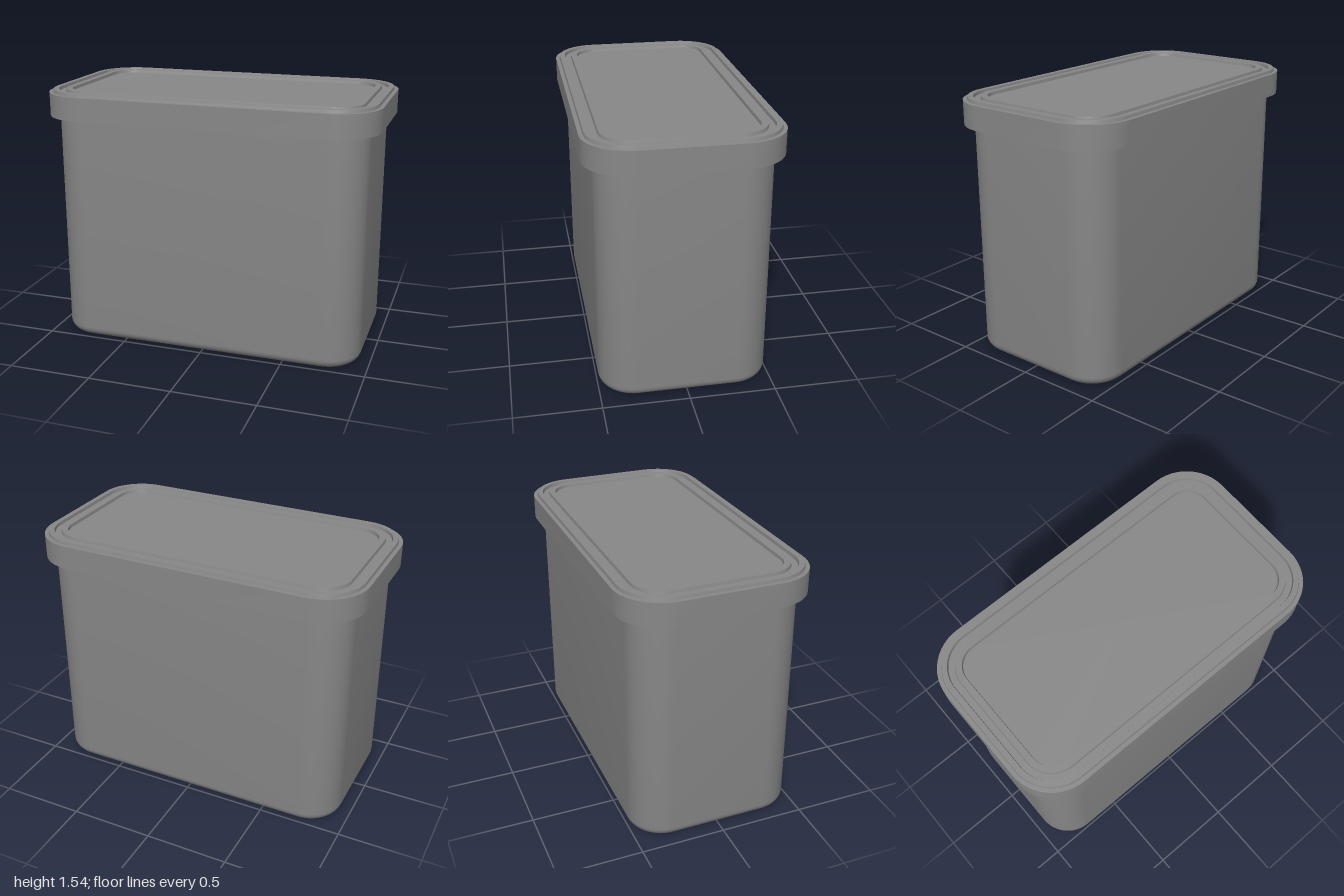
import * as THREE from 'three';
import { toCreasedNormals } from 'three/addons/utils/BufferGeometryUtils.js';

const HALF_X = 1, HALF_Z = 0.554, CORNER = 0.27, STEPS = 12;

// Rounded rectangle, inset from the widest outline, at height y (inset null = centre point)
function ring(inset, y) {
  const pts = [];
  const r = inset === null ? 0 : Math.max(CORNER - inset, 0.02);
  for (let q = 0; q < 4; q++) {
    const sx = q === 0 || q === 3 ? 1 : -1, sz = q < 2 ? 1 : -1;
    for (let s = 0; s <= STEPS; s++) {
      const a = (q + s / STEPS) * Math.PI / 2;
      if (inset === null) pts.push(0, y, 0);
      else pts.push(
        sx * (HALF_X - inset - r) + r * Math.cos(a), y,
        sz * (HALF_Z - inset - r) + r * Math.sin(a));
    }
  }
  return pts;
}

// Skin a profile of [inset, y] steps around the rounded rectangle
function sweepProfile(profile) {
  const n = 4 * (STEPS + 1), positions = [], index = [];
  profile.forEach(([inset, y]) => positions.push(...ring(inset, y)));
  for (let i = 0; i < profile.length - 1; i++) {
    for (let j = 0; j < n; j++) {
      const k = (j + 1) % n;
      const a = i * n + j, b = i * n + k, c = a + n, d = b + n;
      if (profile[i][0] !== null) index.push(a, c, b);
      if (profile[i + 1][0] !== null) index.push(b, c, d);
    }
  }
  const g = new THREE.BufferGeometry();
  g.setAttribute('position', new THREE.Float32BufferAttribute(positions, 3));
  g.setIndex(index);
  return toCreasedNormals(g, Math.PI / 6);
}

// Rounded profile corner swept from one angle to another
function arc(inset, y, r, from, to, steps = 6) {
  return Array.from({ length: steps + 1 }, (_, i) => {
    const a = from + (to - from) * i / steps;
    return [inset - r * Math.cos(a), y + r * Math.sin(a)];
  });
}

export function createModel() {
  const group = new THREE.Group();
  const material = new THREE.MeshStandardMaterial({ color: 0x888888 });
  const add = (name, profile) => {
    const mesh = new THREE.Mesh(sweepProfile(profile), material);
    mesh.name = name;
    group.add(mesh);
  };

  // Hollow tub: recessed base, rounded foot, straight wall, open top and inner cavity
  add('tub', [
    [null, 0.025],
    [0.175, 0.025],
    ...arc(0.15, 0.025, 0.025, Math.PI, Math.PI * 1.5, 4),
    ...arc(0.12, 0.06, 0.06, -Math.PI / 2, 0),
    [0.06, 1.49],
    [0.09, 1.49],
    [0.09, 0.1],
    [0.12, 0.06],
    [null, 0.06],
  ]);

  // Lid: hanging skirt, stepped rim, two raised ridges and a sunken centre panel
  add('lid', [
    [null, 1.495],
    [0.025, 1.495],
    [0.025, 1.385],
    [0, 1.385],
    [0, 1.525],
    [0.023, 1.525],
    [0.027, 1.543],
    [0.058, 1.543],
    [0.062, 1.525],
    [0.098, 1.525],
    [0.102, 1.543],
    [0.138, 1.543],
    [0.142, 1.525],
    [null, 1.525],
  ]);

  return group;
}
